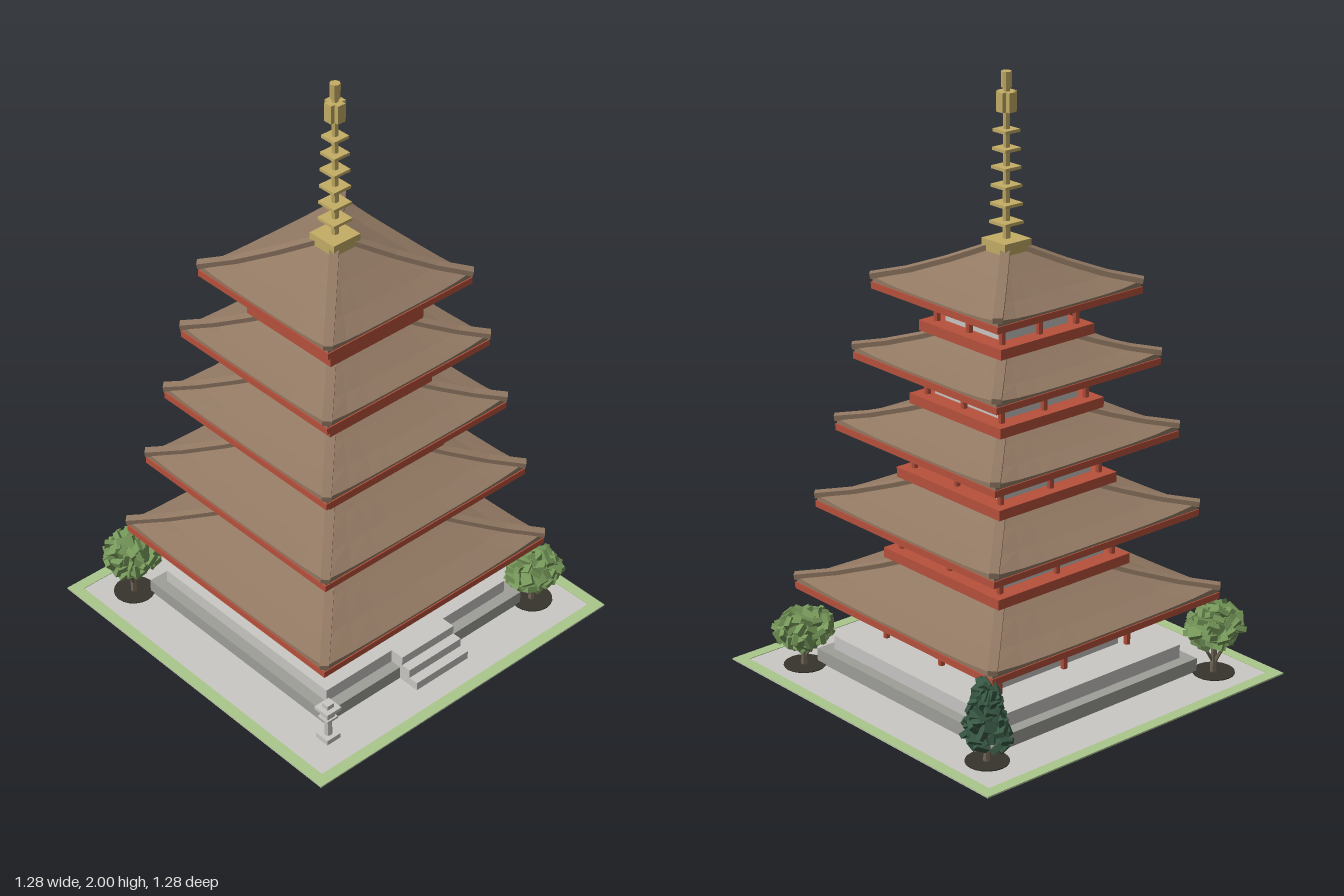
import * as THREE from 'three';
import { mergeGeometries } from 'three/addons/utils/BufferGeometryUtils.js';

const paint = (name, color) => {
  const m = new THREE.MeshStandardMaterial({ color, flatShading: true });
  m.name = name;
  return m;
};

export function createModel() {
  const root = new THREE.Group();
  root.name = 'pagoda';
  const stone = paint('paleStone', 0xcac8c5), darkStone = paint('greyStone', 0x9f9f9a);
  const red = paint('redTimber', 0xb8513c), tile = paint('roofTile', 0x937a64);
  const gold = paint('gold', 0xc4ad66), dark = paint('darkWood', 0x37332c);
  const grass = paint('grass', 0xabc78c), leaf = paint('leafGreen', 0x76985a);
  const pine = paint('pineGreen', 0x385844), bark = paint('bark', 0x6e6455);
  tile.side = THREE.DoubleSide;

  const add = (parent, name, geo, mat, x = 0, y = 0, z = 0) => {
    const mesh = new THREE.Mesh(geo, mat);
    mesh.name = name;
    mesh.position.set(x, y, z);
    parent.add(mesh);
    return mesh;
  };
  // Box given by its size, with y0 and y1 as bottom and top
  const box = (parent, name, mat, w, y0, y1, d, x = 0, z = 0) =>
    add(parent, name, new THREE.BoxGeometry(w, y1 - y0, d), mat, x, (y0 + y1) / 2, z);
  const group = (name, x = 0, z = 0) => {
    const g = new THREE.Group();
    g.name = name;
    g.position.set(x, 0, z);
    root.add(g);
    return g;
  };

  // Ground, grass border, foundation and stairs
  box(root, 'gravel', stone, 1.28, 0.001, 0.004, 1.28);
  for (const s of [-1, 1]) {
    box(root, 'grassBorder', grass, 1.28, 0.002, 0.006, 0.04, 0, s * 0.62);
    box(root, 'grassBorder', grass, 0.04, 0.002, 0.006, 1.2, s * 0.62, 0);
  }
  box(root, 'lowerFoundation', darkStone, 0.88, 0, 0.05, 0.88);
  box(root, 'upperFoundation', stone, 0.8, 0.05, 0.097, 0.8);
  for (let i = 0; i < 3; i++) {
    const front = 0.52 - i * 0.035;
    box(root, 'stair', stone, 0.23, 0.002 + i * 0.032, 0.034 + i * 0.032, front - 0.39, 0, (front + 0.39) / 2);
  }

  // Square roof shell lofted from rings [half width, height, corner lift]
  const roofShell = (rings) => {
    const n = 8, pos = [], idx = [];
    for (let side = 0; side < 4; side++) {
      const a = side * Math.PI / 2, c = Math.cos(a), s = Math.sin(a), base = pos.length / 3;
      for (const [h, y, lift] of rings) {
        for (let j = 0; j <= n; j++) {
          const t = -1 + 2 * j / n, x = t * h;
          pos.push(x * c + h * s, y + lift * t ** 4, h * c - x * s);
        }
      }
      for (let i = 0; i < rings.length - 1; i++) {
        for (let j = 0; j < n; j++) {
          const p = base + i * (n + 1) + j, q = p + n + 1;
          idx.push(p, p + 1, q + 1, p, q + 1, q);
        }
      }
    }
    const g = new THREE.BufferGeometry();
    g.setAttribute('position', new THREE.Float32BufferAttribute(pos, 3));
    g.setIndex(idx);
    g.computeVertexNormals();
    return g;
  };

  // Bar running between two points
  const bar = (a, b, w, h) => {
    const g = new THREE.BoxGeometry(w, h, a.distanceTo(b) + 0.006);
    const o = new THREE.Object3D();
    o.position.copy(a).add(b).multiplyScalar(0.5);
    o.lookAt(b);
    o.updateMatrix();
    return g.applyMatrix4(o.matrix);
  };

  // Storeys: floor, column line, wall, door top, eave half, eave bottom, roof top half and height
  const storeys = [
    [0.097, 0.278, 0.258, 0.222, 0.488, 0.265, 0.19, 0.388],
    [0.417, 0.24, 0.222, 0.515, 0.436, 0.553, 0.165, 0.668],
    [0.698, 0.208, 0.19, 0.785, 0.387, 0.82, 0.145, 0.923],
    [0.951, 0.177, 0.16, 1.035, 0.344, 1.063, 0.12, 1.168],
    [1.196, 0.154, 0.136, 1.27, 0.301, 1.297, 0.045, 1.437],
  ];
  storeys.forEach(([floor, col, wall, doorTop, eave, under, topHalf, topY], k) => {
    const g = group('storey' + (k + 1));
    if (k > 0) box(g, 'balcony', red, 2 * col + 0.082, floor - 0.034, floor, 2 * col + 0.082);
    box(g, 'walls', stone, 2 * wall, floor, under, 2 * wall);
    box(g, 'door', dark, 0.114, floor, doorTop, 0.008, 0, wall + 0.003);
    for (const i of [-1, 0, 1]) for (const j of [-1, 0, 1]) {
      if (i || j) add(g, 'column', new THREE.CylinderGeometry(0.011, 0.011, under - floor, 8), red,
        i * col, (floor + under) / 2, j * col);
    }
    const eaveTop = under + 0.022;
    box(g, 'eaveBoard', red, 2 * eave, under, eaveTop, 2 * eave);

    // Gently hollow roof with raised corners
    const edge = eave - 0.004, y0 = eaveTop + 0.007;
    const rings = [[edge, eaveTop - 0.001, 0]];
    for (const u of [0, 0.3, 0.65, 1]) {
      rings.push([edge + (topHalf - edge) * u, y0 + (topY - y0) * u ** 1.2, 0.012 * (1 - u) ** 2]);
    }
    add(g, 'roof', roofShell(rings), tile);

    // Hip ridges on the four corners
    const bars = [];
    for (const sx of [-1, 1]) for (const sz of [-1, 1]) {
      const pts = rings.slice(1).map(([h, y, l], i) => {
        const r = i === 0 ? h + 0.003 : h;
        return new THREE.Vector3(sx * r, y + l + 0.003, sz * r);
      });
      for (let i = 0; i < pts.length - 1; i++) bars.push(bar(pts[i], pts[i + 1], 0.03, 0.018));
    }
    add(g, 'hipRidges', mergeGeometries(bars), tile);
  });

  // Spire
  const spire = group('spire');
  box(spire, 'spireBase', gold, 0.11, 1.42, 1.47, 0.11);
  add(spire, 'spirePole', new THREE.CylinderGeometry(0.01, 0.012, 0.52, 8), gold, 0, 1.73, 0);
  for (let i = 0; i < 6; i++) {
    const w = 0.076 - i * 0.0032, y = 1.522 + i * 0.0585;
    box(spire, 'spireRing', gold, w, y - 0.005, y + 0.005, w);
  }
  box(spire, 'spireCrown', gold, 0.06, 1.875, 1.937, 0.03);
  box(spire, 'spireCrown', gold, 0.03, 1.875, 1.937, 0.06);
  add(spire, 'spireJewel', new THREE.CylinderGeometry(0.017, 0.017, 0.05, 8), gold, 0, 1.975, 0);

  // Stone lantern
  const lantern = group('lantern', -0.473, 0.488);
  box(lantern, 'lanternFoot', stone, 0.055, 0.003, 0.022, 0.055);
  add(lantern, 'lanternPost', new THREE.CylinderGeometry(0.012, 0.014, 0.07, 8), stone, 0, 0.056, 0);
  box(lantern, 'lanternTray', stone, 0.044, 0.088, 0.096, 0.044);
  box(lantern, 'lanternBox', stone, 0.032, 0.096, 0.122, 0.032);
  box(lantern, 'lanternCap', stone, 0.06, 0.122, 0.134, 0.06);
  box(lantern, 'lanternKnob', stone, 0.026, 0.134, 0.15, 0.026);

  // Trees: leafy blocks scattered over a rounded or tapering crown
  let seed = 7;
  const rnd = () => (seed = (seed * 16807) % 2147483647) / 2147483647;
  const tree = (name, mat, x, z, y0, y1, rx, rz, taper, count, size) => {
    const g = group(name, x, z);
    add(g, 'soil', new THREE.CylinderGeometry(0.07, 0.07, 0.003, 20), dark, 0, 0.0055, 0);
    add(g, 'trunk', new THREE.CylinderGeometry(0.009, 0.013, y0 + 0.04, 6), bark, 0, (y0 + 0.04) / 2 + 0.004, 0);
    const parts = [];
    if (!taper) {
      for (let i = 0; i < 3; i++) {
        const a = i * 2.1 + 0.4, r = 0.045;
        parts.push(bar(new THREE.Vector3(0, 0.035, 0),
          new THREE.Vector3(r * Math.cos(a), y0 + 0.03, r * Math.sin(a)), 0.009, 0.009));
      }
      add(g, 'branches', mergeGeometries(parts), bark);
    }
    const leaves = [];
    const mid = (y0 + y1) / 2, ry = (y1 - y0) / 2;
    for (let i = 0; i < count; i++) {
      const v = 1 - 2 * (i + 0.5) / count, a = i * 2.39996;
      const r = taper ? 0.25 + 0.75 * Math.min(1, (1 - v) / 1.5) : Math.sqrt(1 - v * v);
      const k = 0.7 + 0.3 * rnd();
      const b = new THREE.BoxGeometry(size, size * 0.85, size * 0.4);
      b.rotateX(rnd() * 6.28).rotateY(rnd() * 6.28).rotateZ(rnd() * 6.28);
      const inset = size * 0.45;
      b.translate((rx - inset) * r * k * Math.cos(a), mid + (ry - inset) * v, (rz - inset) * r * k * Math.sin(a));
      leaves.push(b);
    }
    add(g, 'foliage', mergeGeometries(leaves), mat);
  };
  tree('frontTree', leaf, 0.485, 0.45, 0.06, 0.205, 0.115, 0.095, false, 75, 0.045);
  tree('backTree', leaf, -0.478, -0.48, 0.09, 0.25, 0.115, 0.095, false, 75, 0.045);
  tree('pineTree', pine, 0.487, -0.462, 0.045, 0.285, 0.075, 0.092, true, 85, 0.042);

  return root;
}
